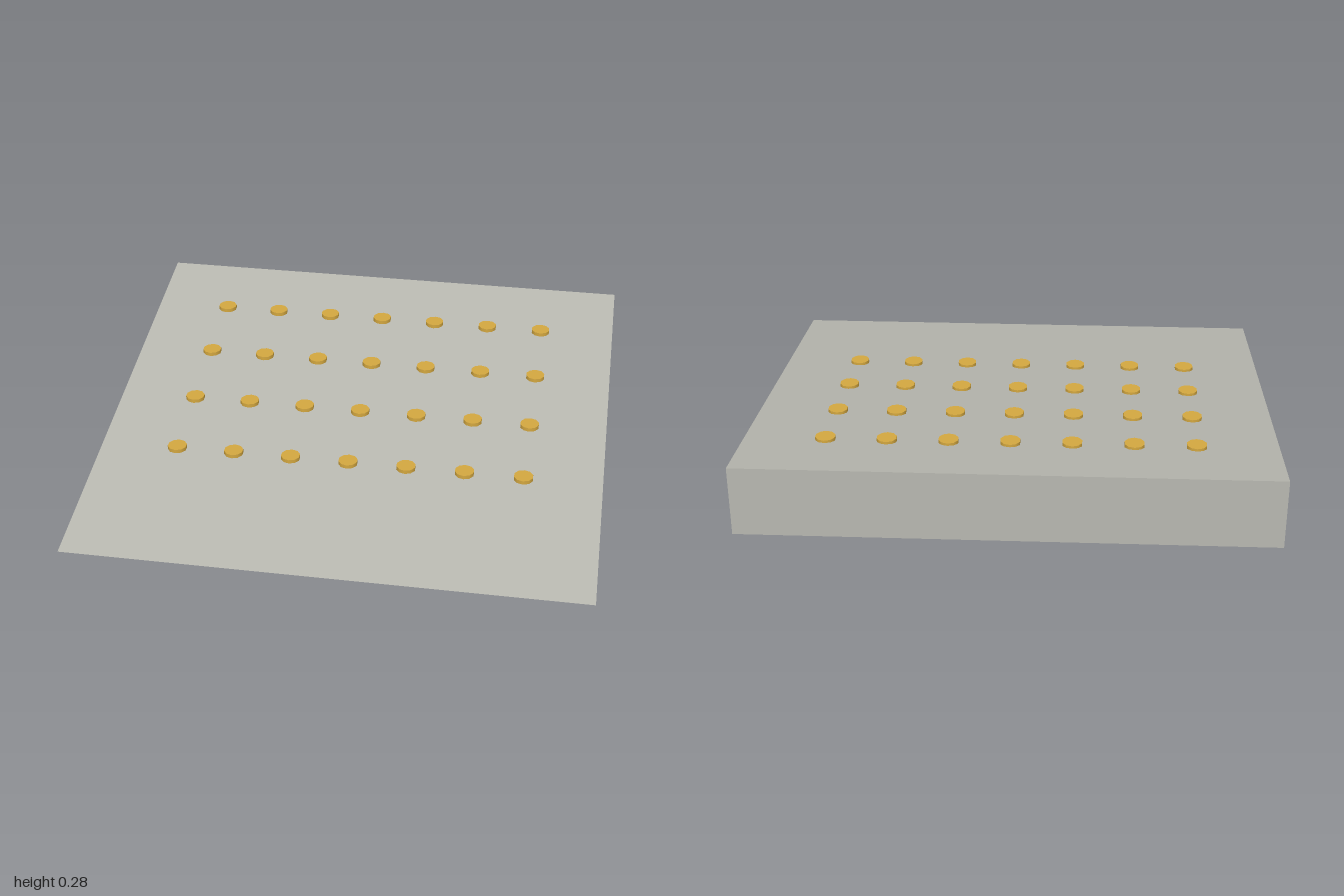
import * as THREE from 'three';

const HALF_DEPTH = 0.923;
const HEIGHT = 0.277;

export function createModel() {
  const concrete = new THREE.MeshStandardMaterial({ color: 0xb8b8b0 });
  concrete.name = 'concrete grey';
  const gold = new THREE.MeshStandardMaterial({ color: 0xd4a840 });
  gold.name = 'stud yellow';

  const model = new THREE.Group();
  model.name = 'tactileRamp';

  // Wedge: side profile (shape x = -z after turning) extruded across the width
  const profile = new THREE.Shape();
  profile.moveTo(-HALF_DEPTH, 0);
  profile.lineTo(HALF_DEPTH, 0);
  profile.lineTo(HALF_DEPTH, HEIGHT);
  profile.closePath();
  const wedge = new THREE.ExtrudeGeometry(profile, { depth: 2, bevelEnabled: false });
  wedge.translate(0, 0, -1);
  wedge.rotateY(Math.PI / 2);
  const ramp = new THREE.Mesh(wedge, concrete);
  ramp.name = 'ramp';
  model.add(ramp);

  // Grid of level studs, each resting on the slope at its centre
  const studHeight = 0.0154;
  const studGeometry = new THREE.CylinderGeometry(0.0385, 0.0385, studHeight, 10);
  const studs = new THREE.Group();
  studs.name = 'studs';
  for (let row = -2; row <= 1; row++) {
    const z = row * 0.3077;
    const slopeY = HEIGHT * (HALF_DEPTH - z) / (2 * HALF_DEPTH);
    for (let col = -3; col <= 3; col++) {
      const stud = new THREE.Mesh(studGeometry, gold);
      stud.name = 'stud';
      stud.position.set(col * 0.2308, slopeY + studHeight / 2, z);
      studs.add(stud);
    }
  }
  model.add(studs);
  return model;
}
